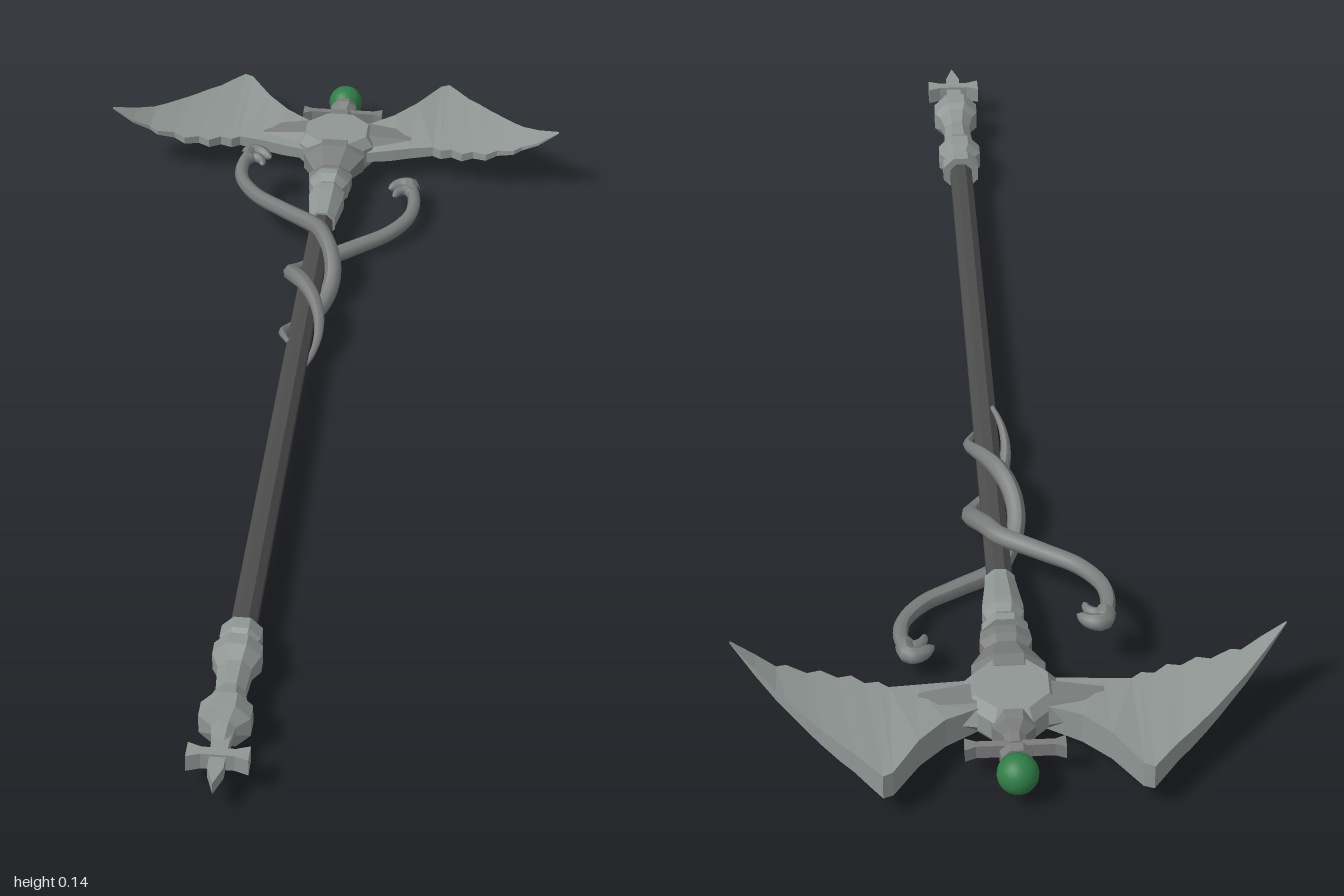
import * as THREE from 'three';

const AXIS_Y = 0.055; // height of the shaft's centre line

const mat = (name, color) => {
  const m = new THREE.MeshStandardMaterial({ color });
  m.name = name;
  return m;
};

// Give every face its own normals for a faceted look
function facet(geo) {
  const g = geo.index ? geo.toNonIndexed() : geo;
  g.computeVertexNormals();
  return g;
}

// Turned part along z from [z, radius] pairs, z ascending
function turned(profile, sides) {
  const g = new THREE.LatheGeometry(profile.map(([z, r]) => new THREE.Vector2(r, z)), sides);
  return facet(g.rotateX(Math.PI / 2).rotateZ(Math.PI / sides));
}

// Flat plate in the xz plane from an [x, z] outline, centred on y = 0
function plate(outline, thick) {
  const shape = new THREE.Shape(outline.map(([x, z]) => new THREE.Vector2(x, -z)));
  const g = new THREE.ExtrudeGeometry(shape, { depth: thick, bevelEnabled: false });
  return facet(g.translate(0, 0, -thick / 2).rotateX(-Math.PI / 2));
}

// Wing lofted through [x, leading z, trailing z, mid y, half thickness] sections
const WING = [
  [0.05, -0.85, -0.77, 0.0, 0.022],
  [0.1, -0.88, -0.778, 0.003, 0.026],
  [0.14, -0.925, -0.785, 0.007, 0.025],
  [0.18, -0.992, -0.79, 0.01, 0.022],
  [0.195, -1.0, -0.778, 0.011, 0.021],
  [0.215, -0.975, -0.782, 0.013, 0.02],
  [0.235, -0.95, -0.765, 0.015, 0.018],
  [0.255, -0.93, -0.772, 0.018, 0.017],
  [0.28, -0.902, -0.758, 0.022, 0.015],
  [0.3, -0.88, -0.768, 0.027, 0.013],
  [0.33, -0.845, -0.757, 0.036, 0.01],
  [0.345, -0.828, -0.765, 0.041, 0.009],
  [0.375, -0.795, -0.755, 0.058, 0.006],
  [0.412, -0.756, -0.752, 0.085, 0.001],
];
function wingGeometry(side) {
  const pos = [];
  const idx = [];
  for (const [x, zl, zt, y, h] of WING) {
    // thick leading edge, thin feathered trailing edge
    pos.push(side * x, y + h, zl, side * x, y + h * 0.35, zt);
    pos.push(side * x, y - h * 0.5, zt, side * x, y - h, zl);
  }
  const quad = (a, b, c, d) => idx.push(...(side > 0 ? [a, b, c, a, c, d] : [a, c, b, a, d, c]));
  const last = WING.length - 1;
  for (let i = 0; i < last; i++) {
    for (let k = 0; k < 4; k++) {
      const n = (k + 1) % 4;
      quad(i * 4 + k, i * 4 + n, i * 4 + 4 + n, i * 4 + 4 + k);
    }
  }
  quad(3, 2, 1, 0);
  quad(last * 4, last * 4 + 1, last * 4 + 2, last * 4 + 3);
  const g = new THREE.BufferGeometry();
  g.setAttribute('position', new THREE.Float32BufferAttribute(pos, 3));
  g.setIndex(idx);
  return facet(g);
}

// Serpent path: helix around the shaft, then a curve out to the head
function serpentPath(side) {
  const pts = [];
  for (let i = 0; i <= 14; i++) {
    const z = -0.11 - 0.35 * (i / 14);
    const a = (Math.PI * (z + 0.46)) / 0.19;
    const r = 0.027 + 0.009 * Math.min(1, i / 7);
    pts.push(new THREE.Vector3(-side * r * Math.sin(a), -side * r * Math.cos(a), z));
  }
  const free = [[0.065, -0.508], [0.12, -0.55], [0.152, -0.6], [0.157, -0.645], [0.15, -0.68]];
  free.forEach(([x, z], i) => {
    const y = side < 0 ? 0.038 + 0.002 * i : -0.03 + 0.006 * i;
    pts.push(new THREE.Vector3(side * x, y, z));
  });
  return new THREE.CatmullRomCurve3(pts);
}

// Tube whose radius follows a rule along its length
function taperedTube(path, segments, sides, radiusAt) {
  const g = new THREE.TubeGeometry(path, segments, 1, sides, false);
  const p = g.attributes.position;
  const v = new THREE.Vector3();
  for (let i = 0; i <= segments; i++) {
    const c = path.getPointAt(i / segments);
    for (let j = 0; j <= sides; j++) {
      const k = i * (sides + 1) + j;
      v.fromBufferAttribute(p, k).sub(c).multiplyScalar(radiusAt(i / segments)).add(c);
      p.setXYZ(k, v.x, v.y, v.z);
    }
  }
  g.computeVertexNormals();
  return g;
}

export function createModel() {
  const steel = mat('pale steel', 0x8f9693);
  const iron = mat('grey iron', 0x7c7e7d);
  const dark = mat('dark shaft', 0x4c4c4c);
  const green = mat('green gem', 0x2f7d46);

  const model = new THREE.Group();
  model.name = 'wingedStaff';
  const body = new THREE.Group();
  body.name = 'staffBody';
  body.position.y = AXIS_Y;
  model.add(body);
  const add = (name, geo, material, parent = body) => {
    const m = new THREE.Mesh(geo, material);
    m.name = name;
    parent.add(m);
    return m;
  };

  // Shaft
  add('shaft', turned([[-0.56, 0], [-0.56, 0.021], [0.66, 0.021], [0.66, 0]], 8), dark);

  // Foot fitting with collars
  add('footFitting', turned([
    [0.645, 0], [0.645, 0.034], [0.67, 0.034], [0.68, 0.026], [0.69, 0.04], [0.715, 0.04],
    [0.74, 0.028], [0.79, 0.024], [0.82, 0.032], [0.83, 0.042], [0.86, 0.042], [0.872, 0.02],
    [0.9, 0.016], [0.91, 0],
  ], 8), steel);

  // Cross and pointed tip at the foot
  add('footTip', plate([
    [-0.014, 0.89], [0.014, 0.89], [0.012, 0.945], [0.012, 0.965], [0, 1], [-0.012, 0.965], [-0.012, 0.945],
  ], 0.02), steel);
  add('footCross', plate([
    [-0.046, 0.918], [-0.025, 0.926], [0.025, 0.926], [0.046, 0.918],
    [0.046, 0.95], [0.025, 0.942], [-0.025, 0.942], [-0.046, 0.95],
  ], 0.028), steel);

  // Socket and flaring cup under the medallion
  add('headSocket', turned([
    [-0.665, 0], [-0.665, 0.038], [-0.65, 0.038], [-0.635, 0.028], [-0.62, 0.034], [-0.605, 0.034],
    [-0.54, 0.025], [-0.53, 0.025], [-0.53, 0],
  ], 8), steel);
  const cup = add('headCup', turned([
    [-0.78, 0], [-0.77, 0.058], [-0.745, 0.06], [-0.7, 0.036], [-0.685, 0.043], [-0.66, 0.04], [-0.66, 0],
  ], 8), iron);
  cup.scale.y = 0.65;

  // Eight-sided medallion
  const disc = new THREE.CylinderGeometry(0.06, 0.074, 0.018, 8).translate(0, 0.025, 0);
  const discLow = new THREE.CylinderGeometry(0.074, 0.06, 0.018, 8).translate(0, -0.025, 0);
  const rim = new THREE.CylinderGeometry(0.074, 0.074, 0.032, 8);
  const medallion = new THREE.Group();
  medallion.name = 'medallion';
  medallion.position.z = -0.81;
  body.add(medallion);
  [['medallionTop', disc], ['medallionRim', rim], ['medallionBase', discLow]].forEach(([n, g]) =>
    add(n, facet(g.rotateY(Math.PI / 8)), steel, medallion));

  // Neck, crossbar and gem
  add('neck', turned([
    [-0.945, 0], [-0.945, 0.024], [-0.93, 0.026], [-0.915, 0.016], [-0.895, 0.018], [-0.885, 0.034],
    [-0.865, 0.036], [-0.86, 0],
  ], 8), iron);
  add('crossbar', plate([
    [-0.074, -0.928], [-0.058, -0.921], [0.058, -0.921], [0.074, -0.928],
    [0.074, -0.902], [0.058, -0.909], [-0.058, -0.909], [-0.074, -0.902],
  ], 0.022), iron);
  add('gem', new THREE.SphereGeometry(0.031, 20, 14), green).position.z = -0.969;

  for (const side of [1, -1]) {
    const label = side > 0 ? 'left' : 'right';

    // Wing with a faceted shoulder
    add(label + 'Wing', wingGeometry(side), steel);
    const shoulder = add(label + 'Shoulder', facet(new THREE.CylinderGeometry(0.03, 0.046, 0.085, 6)), iron);
    shoulder.position.set(side * 0.095, 0.002, -0.823);
    shoulder.rotation.z = -side * Math.PI / 2;
    shoulder.scale.x = 0.68;

    // Serpent body and head
    const serpent = new THREE.Group();
    serpent.name = label + 'Serpent';
    body.add(serpent);
    const path = serpentPath(side);
    const radius = (t) => (t < 0.3 ? 0.004 + 0.011 * (t / 0.3) : 0.015 - 0.004 * Math.max(0, (t - 0.6) / 0.4));
    add('serpentBody', taperedTube(path, 80, 8, radius), iron, serpent);

    const end = path.getPoint(1);
    const jaw = (name, pts, r) => {
      const curve = new THREE.CatmullRomCurve3(pts.map(([x, z]) => new THREE.Vector3(side * x, end.y, z)));
      add(name, taperedTube(curve, 10, 8, (t) => r * Math.sqrt(Math.max(0, 1 - t * t)) + 0.001), iron, serpent);
    };
    jaw('serpentHead', [[0.152, -0.668], [0.147, -0.69], [0.128, -0.69], [0.108, -0.672]], 0.014);
    jaw('serpentJaw', [[0.151, -0.66], [0.14, -0.672], [0.126, -0.664], [0.12, -0.645]], 0.009);
  }
  return model;
}
